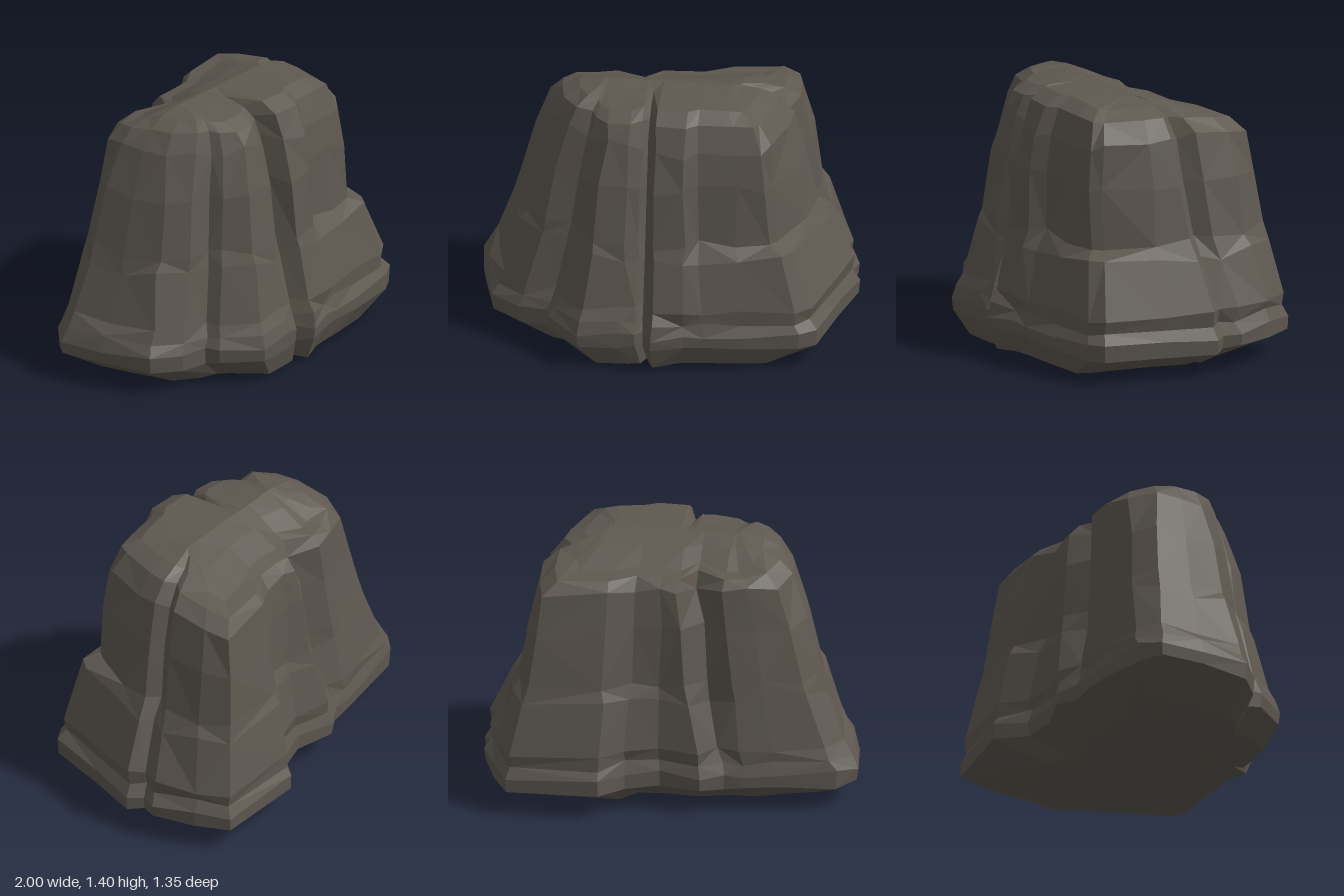
import * as THREE from 'three';

// Plan of the boulder, one row per vertical ridge or crack, running left side, front, right side, back:
// [foot x, foot z, shoulder x, shoulder z, rim height]
const RIDGES = [
  [-1, -.25, -.64, -.14, 1.35], [-.97, 0, -.63, 0, 1.38], [-.9, .27, -.6, .14, 1.38],
  [-.75, .37, -.5, .26, 1.39], [-.6, .4, -.39, .27, 1.37], [-.58, .48, -.36, .33, 1.36],
  [-.41, .65, -.28, .4, 1.36], [-.2, .63, -.16, .41, 1.37], [-.11, .62, -.1, .37, 1.38],
  [-.07, .58, -.065, .31, 1.36], [-.02, .67, -.02, .46, 1.4], [.15, .62, .14, .47, 1.4],
  [.25, .605, .2, .42, 1.4], [.45, .58, .4, .4, 1.39], [.75, .53, .54, .38, 1.38],
  [.84, .48, .57, .32, 1.37], [.92, .15, .65, .08, 1.37], [1, -.12, .67, -.04, 1.37],
  [.94, -.19, .61, -.1, 1.35], [.98, -.28, .68, -.17, 1.35], [.9, -.5, .68, -.38, 1.31],
  [.81, -.67, .64, -.52, 1.28], [.32, -.68, .3, -.48, 1.28],
  [.2, -.53, .16, -.39, 1.29], [.02, -.48, .03, -.38, 1.29], [-.2, -.53, -.06, -.39, 1.28],
  [-.32, -.46, -.15, -.27, 1.3], [-.42, -.45, -.3, -.36, 1.28], [-.6, -.42, -.42, -.33, 1.28],
  [-.9, -.35, -.57, -.27, 1.31],
];

// Wall levels: [height, then inward slope of the left lobe, of the right-hand blocks with
// their undercut ledge, and of the front right block, which steps back halfway up]
const LEVELS = [
  [.13, .03, .02, .02], [.21, 0, 0, 0], [.27, .1, .14, .14], [.34, .22, .1, .12],
  [.61, .49, .46, .48], [.7, .57, .63, .8], [1, .77, .81, .89], [1.22, 1, 1, 1],
];

function seeded(seed) {
  return () => {
    seed = (seed * 16807) % 2147483647;
    return seed / 2147483647 - 0.5;
  };
}

function boulderGeometry() {
  const rand = seeded(77);
  const clamp = THREE.MathUtils.clamp;
  const lerp = THREE.MathUtils.lerp;
  const rings = [];

  // underside: centre line, then a ring undercut at the back
  rings.push(RIDGES.map(([x]) => [x * .5, 0, 0]));
  rings.push(RIDGES.map(([x, z]) => [x * .76, .015 + rand() * .02, z * (z > 0 ? .92 : .6)]));

  // walls
  LEVELS.forEach(([y, lobe, ledged, stepped], i) => {
    rings.push(RIDGES.map(([x, z, sx, sz], j) => {
      const t = j >= 12 && j <= 15 ? stepped : j >= 11 && j <= 25 ? ledged : lobe;
      const rough = i < 2 ? 0 : .02;
      return [
        lerp(x, sx, t) + rand() * rough,
        y + rand() * (i < 4 ? .03 : .06),
        lerp(z, sz, t) + rand() * rough,
      ];
    }));
  });

  // rounded rim and crown, closing on a line across the top
  const crown = (pull, zScale, rise) => RIDGES.map(([, , x, z, y]) => [
    lerp(x, clamp(x, -.3, .3), pull), lerp(y, 1.4, rise), z * zScale,
  ]);
  rings.push(RIDGES.map(([, , x, z, y]) => [
    lerp(x, clamp(x, -.3, .3), .22), lerp(1.23, y, .7), z * .88,
  ]));
  rings.push(crown(.5, .68, 0), crown(.75, .32, .6), crown(.85, 0, 1));

  const n = RIDGES.length;
  const index = [];
  for (let i = 0; i < rings.length - 1; i++) {
    for (let j = 0; j < n; j++) {
      const a = i * n + j, b = i * n + (j + 1) % n, c = b + n, d = a + n;
      // alternate the diagonal so the facets look broken
      if ((i + j) % 2) index.push(a, b, c, a, c, d);
      else index.push(a, b, d, b, c, d);
    }
  }
  const geometry = new THREE.BufferGeometry();
  geometry.setAttribute('position', new THREE.Float32BufferAttribute(rings.flat(2), 3));
  geometry.setIndex(index);
  const faceted = geometry.toNonIndexed();
  faceted.computeVertexNormals();
  return faceted;
}

export function createModel() {
  const group = new THREE.Group();
  group.name = 'rock';
  const stone = new THREE.MeshStandardMaterial({ color: 0x5e5850, flatShading: true });
  const boulder = new THREE.Mesh(boulderGeometry(), stone);
  boulder.name = 'boulder';
  group.add(boulder);
  return group;
}
